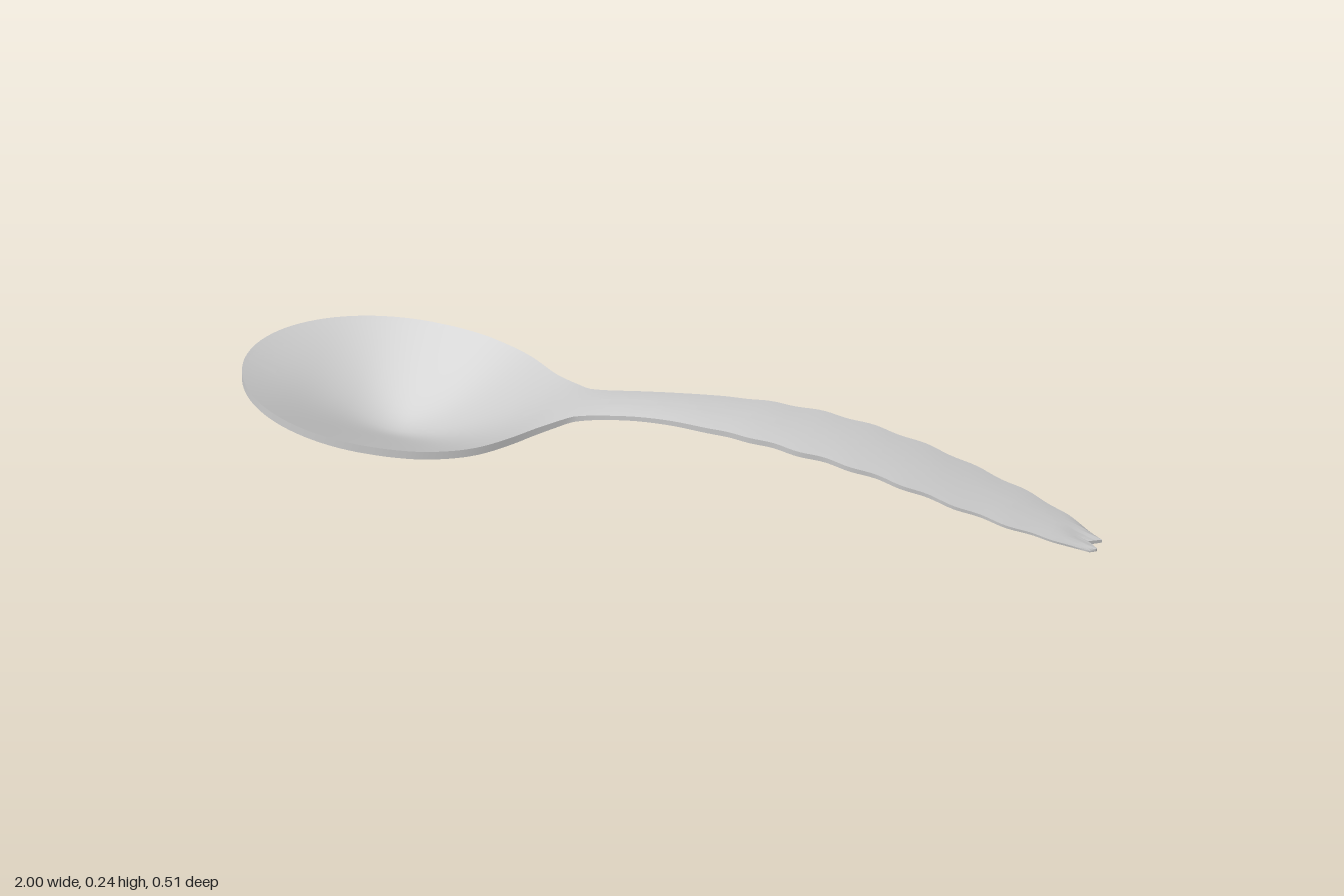
import * as THREE from 'three';
import { toCreasedNormals } from 'three/addons/utils/BufferGeometryUtils.js';

// Smooth interpolation through [x, value] points
function curve(points) {
  const slope = (i) => {
    const a = points[Math.max(i - 1, 0)], b = points[Math.min(i + 1, points.length - 1)];
    return (b[1] - a[1]) / (b[0] - a[0]);
  };
  return (x) => {
    let i = 0;
    while (i < points.length - 2 && x > points[i + 1][0]) i++;
    const [x0, y0] = points[i], [x1, y1] = points[i + 1];
    const h = x1 - x0, t = THREE.MathUtils.clamp((x - x0) / h, 0, 1), t2 = t * t, t3 = t2 * t;
    return (2 * t3 - 3 * t2 + 1) * y0 + (t3 - 2 * t2 + t) * h * slope(i)
      + (3 * t2 - 2 * t3) * y1 + (t3 - t2) * h * slope(i + 1);
  };
}

// Half width from the middle of the bowl to the end of the handle
const backWidth = curve([[-0.65, 0.256], [-0.58, 0.252], [-0.5, 0.236], [-0.4, 0.192], [-0.3, 0.113],
  [-0.25, 0.079], [-0.21, 0.057], [-0.1, 0.052], [0, 0.056], [0.1, 0.066], [0.2, 0.074], [0.3, 0.082],
  [0.45, 0.085], [0.6, 0.084], [0.7, 0.079], [0.8, 0.071], [0.9, 0.055], [1, 0.028]]);
// Height of the rim and of the handle's upper face
const rimTop = curve([[-1, 0.146], [-0.5, 0.147], [-0.4, 0.151], [-0.33, 0.16], [-0.28, 0.173], [-0.2, 0.195],
  [-0.1, 0.217], [0, 0.231], [0.1, 0.238], [0.2, 0.241], [0.3, 0.237], [0.4, 0.228], [0.5, 0.212],
  [0.6, 0.19], [0.7, 0.163], [0.8, 0.136], [0.9, 0.107], [1, 0.077]]);
// Depth of the bowl below the rim along the centre line
const bowlDepth = curve([[-1, 0], [-0.9, 0.039], [-0.8, 0.083], [-0.72, 0.114], [-0.65, 0.127], [-0.57, 0.115],
  [-0.5, 0.092], [-0.4, 0.05], [-0.33, 0.02], [-0.27, 0.003], [-0.2, 0], [1, 0]]);
const thickness = curve([[-1, 0.02], [-0.4, 0.02], [-0.2, 0.016], [0.2, 0.019], [0.6, 0.015], [1, 0.009]]);
const ramp = THREE.MathUtils.smoothstep;

function halfWidth(x) {
  if (x < -0.65) return 0.256 * Math.sqrt(Math.max(0, 1 - ((x + 0.65) / 0.35) ** 2));
  // Scalloped edge along the handle
  const scallop = 0.003 * Math.cos((x - 0.2) * 52) * ramp(x, 0.05, 0.25) * (1 - ramp(x, 0.85, 0.95));
  return backWidth(x) + scallop;
}

// Point on the upper or lower face; v runs from -1 to 1 across the spoon
function surfacePoint(x, v, upper) {
  const cone = 0.141;
  const s = Math.min(1, 1 - bowlDepth(x) / cone);
  const depth = cone * (1 - Math.sqrt(s * s + v * v * (1 - s * s)));
  const crown = 0.005 * v * v * ramp(x, -0.3, -0.1);
  const y = rimTop(x) - depth - (upper ? crown : thickness(x));
  // Two small points with a notch between them at the handle's end
  const notch = 0.027 * Math.abs(Math.abs(v) - 0.65) / 0.65 * ramp(x, 0.9, 1);
  return [x - notch, Math.max(0, y), halfWidth(x) * v];
}

function spoonGeometry() {
  const stations = [];
  for (let i = 0; i < 24; i++) stations.push(-0.65 - 0.35 * Math.cos((i / 24) * Math.PI / 2));
  for (let i = 0; i <= 110; i++) stations.push(-0.65 + 1.65 * i / 110);

  // Closed cross-sections: across the upper face, back along the lower face
  const across = 32, ring = 2 * (across + 1);
  const positions = [], index = [];
  for (const x of stations) {
    for (let j = 0; j <= across; j++) positions.push(...surfacePoint(x, 2 * j / across - 1, true));
    for (let j = across; j >= 0; j--) positions.push(...surfacePoint(x, 2 * j / across - 1, false));
  }
  for (let i = 0; i < stations.length - 1; i++) {
    for (let j = 0; j < ring; j++) {
      const a = i * ring + j, c = i * ring + (j + 1) % ring;
      index.push(a, c, a + ring, a + ring, c, c + ring);
    }
  }
  // End face of the handle
  const last = (stations.length - 1) * ring;
  for (let j = 0; j < across; j++) {
    const t = last + j, b = last + ring - 1 - j;
    index.push(b, t, t + 1, b, t + 1, b - 1);
  }
  const geometry = new THREE.BufferGeometry();
  geometry.setAttribute('position', new THREE.Float32BufferAttribute(positions, 3));
  geometry.setIndex(index);
  return toCreasedNormals(geometry, 0.7);
}

export function createModel() {
  const group = new THREE.Group();
  group.name = 'spoon';
  const material = new THREE.MeshStandardMaterial({ color: 0xcccccc });
  const body = new THREE.Mesh(spoonGeometry(), material);
  body.name = 'bowlAndHandle';
  group.add(body);
  return group;
}
